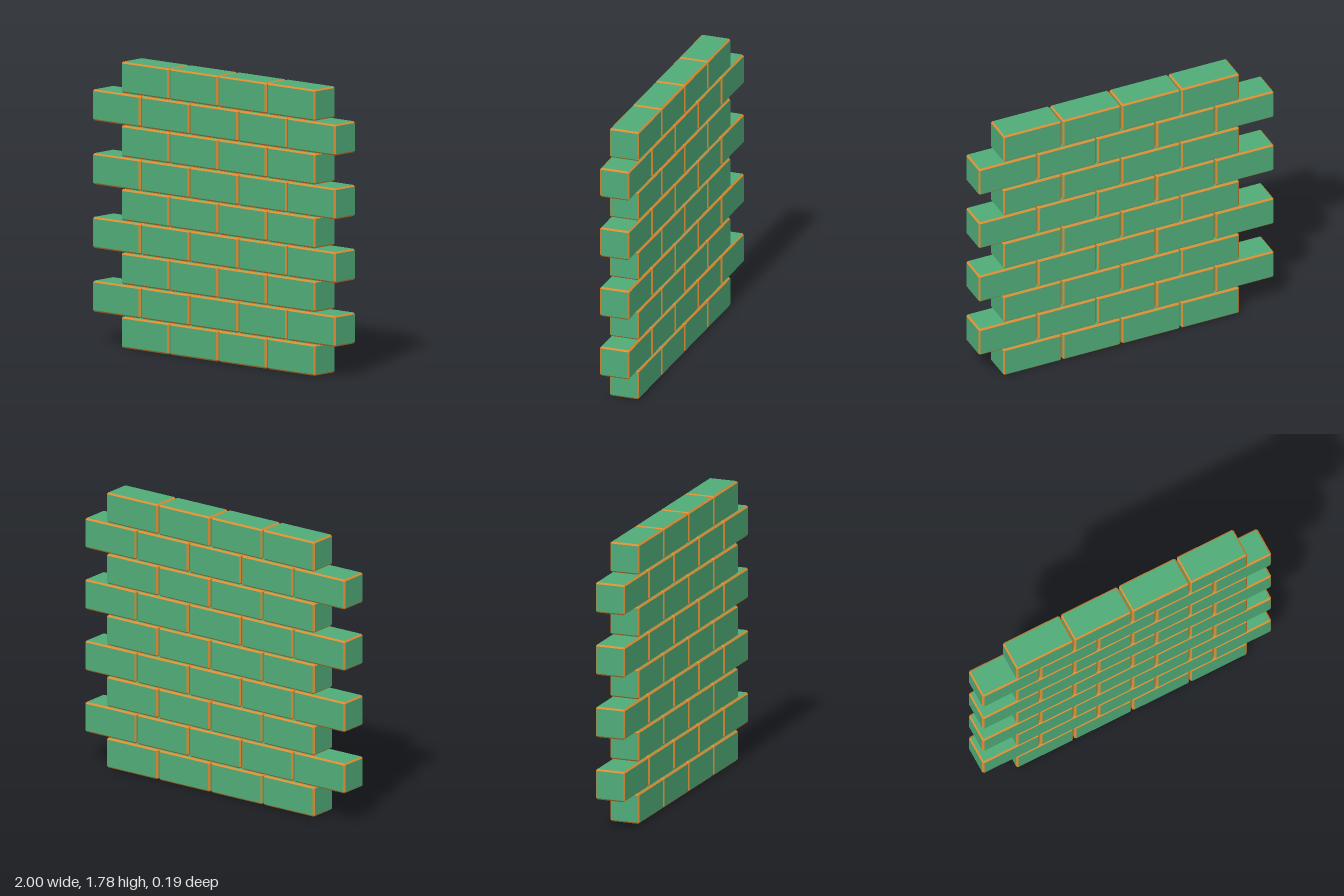
import * as THREE from 'three';

// Chamfered block: group 0 = the six flat faces, group 1 = edge and corner bevels
function bevelledBlock(w, h, d, bevel) {
  const half = [w / 2, h / 2, d / 2];
  const positions = [];

  // Point at the corner given by signs, lying on the face along one axis
  const point = (signs, axis) => new THREE.Vector3(
    ...signs.map((s, i) => s * (i === axis ? half[i] : half[i] - bevel)));

  // Triangle wound so that it faces away from the centre
  const triangle = (a, b, c) => {
    const normal = b.clone().sub(a).cross(c.clone().sub(a));
    const centre = a.clone().add(b).add(c);
    const order = normal.dot(centre) > 0 ? [a, b, c] : [a, c, b];
    order.forEach((p) => positions.push(p.x, p.y, p.z));
  };
  const quad = (a, b, c, e) => { triangle(a, b, c); triangle(a, c, e); };
  const place = (i, si, j, sj, k, sk) => {
    const signs = [0, 0, 0];
    signs[i] = si; signs[j] = sj; signs[k] = sk;
    return signs;
  };

  // Flat faces
  for (let i = 0; i < 3; i++) {
    const j = (i + 1) % 3, k = (i + 2) % 3;
    for (const s of [-1, 1]) {
      quad(...[[-1, -1], [1, -1], [1, 1], [-1, 1]].map(
        ([u, v]) => point(place(i, s, j, u, k, v), i)));
    }
  }
  const faceCount = positions.length / 3;

  // Edge bevels and corner triangles
  for (let i = 0; i < 3; i++) {
    const j = (i + 1) % 3, k = (i + 2) % 3;
    for (const u of [-1, 1]) for (const v of [-1, 1]) {
      const near = place(i, -1, j, u, k, v), far = place(i, 1, j, u, k, v);
      quad(point(near, j), point(far, j), point(far, k), point(near, k));
    }
  }
  for (const x of [-1, 1]) for (const y of [-1, 1]) for (const z of [-1, 1]) {
    triangle(...[0, 1, 2].map((axis) => point([x, y, z], axis)));
  }

  const geometry = new THREE.BufferGeometry();
  geometry.setAttribute('position', new THREE.Float32BufferAttribute(positions, 3));
  geometry.computeVertexNormals();
  geometry.addGroup(0, faceCount, 0);
  geometry.addGroup(faceCount, positions.length / 3 - faceCount, 1);
  return geometry;
}

export function createModel() {
  const wall = new THREE.Group();
  wall.name = 'brickWall';

  const green = new THREE.MeshStandardMaterial({ color: 0x50ab78 });
  green.name = 'brick green';
  const orange = new THREE.MeshStandardMaterial({ color: 0xdc8c32 });
  orange.name = 'edge orange';

  const width = 0.394, height = 0.193, depth = 0.193;
  const pitchX = 0.4015, pitchY = 0.198;
  const brick = bevelledBlock(width, height, depth, 0.01);

  // Nine courses: four bricks, then five, alternating
  for (let row = 0; row < 9; row++) {
    const long = row % 2 === 1;
    const start = long ? -1 : -0.765;
    const course = new THREE.Group();
    course.name = `course${row + 1}`;
    course.position.y = height / 2 + row * pitchY;
    for (let i = 0; i < (long ? 5 : 4); i++) {
      const mesh = new THREE.Mesh(brick, [green, orange]);
      mesh.name = `brick${i + 1}`;
      mesh.position.x = start + width / 2 + i * pitchX;
      course.add(mesh);
    }
    wall.add(course);
  }
  return wall;
}
